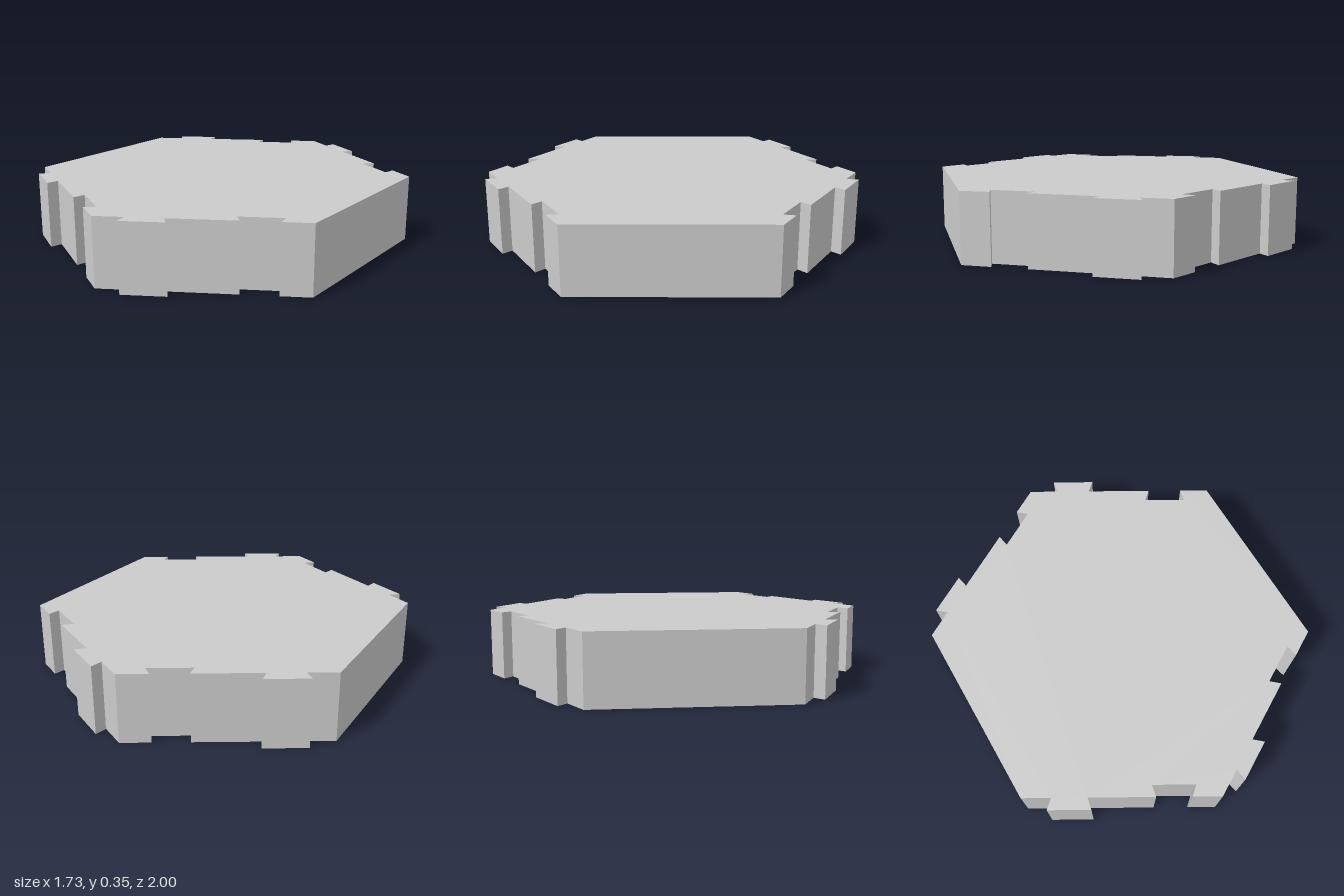
import * as THREE from 'three';

const HEIGHT = 0.35;
const DEPTH = 0.06; // how far a tab stands out and a socket cuts in

// Distance along a unit-long hexagon side, and offset out of it:
// a dovetail tab followed by the matching socket.
const JOINT = [
  [0, 0], [0.15, 0], [0.13, DEPTH], [0.35, DEPTH], [0.33, 0],
  [0.67, 0], [0.65, -DEPTH], [0.87, -DEPTH], [0.85, 0],
];
const MIRRORED_JOINT = JOINT.map(([s, d]) => [1 - s, d]).reverse();
MIRRORED_JOINT.unshift([0, 0]);
MIRRORED_JOINT.pop();

const PLAIN = [[0, 0]];

// Counter-clockwise from the lower right corner; shape y points to the back
const SIDES = [PLAIN, MIRRORED_JOINT, MIRRORED_JOINT, PLAIN, JOINT, JOINT];

function corner(i) {
  const a = (i * Math.PI) / 3 - Math.PI / 6;
  return new THREE.Vector2(Math.cos(a), Math.sin(a));
}

function tileOutline() {
  const points = [];
  SIDES.forEach((profile, i) => {
    const start = corner(i);
    const along = corner(i + 1).sub(start);
    const out = new THREE.Vector2(along.y, -along.x);
    for (const [s, d] of profile) {
      points.push(start.clone().addScaledVector(along, s).addScaledVector(out, d));
    }
  });
  return new THREE.Shape(points);
}

export function createModel() {
  const group = new THREE.Group();
  group.name = 'interlockingHexTile';

  // Hexagonal slab with dovetail joints on four sides
  const geometry = new THREE.ExtrudeGeometry(tileOutline(), { depth: HEIGHT, bevelEnabled: false });
  geometry.rotateX(-Math.PI / 2);
  const tile = new THREE.Mesh(
    geometry,
    new THREE.MeshStandardMaterial({ color: 0xcccccc, flatShading: true })
  );
  tile.name = 'hexTile';
  group.add(tile);

  return group;
}
